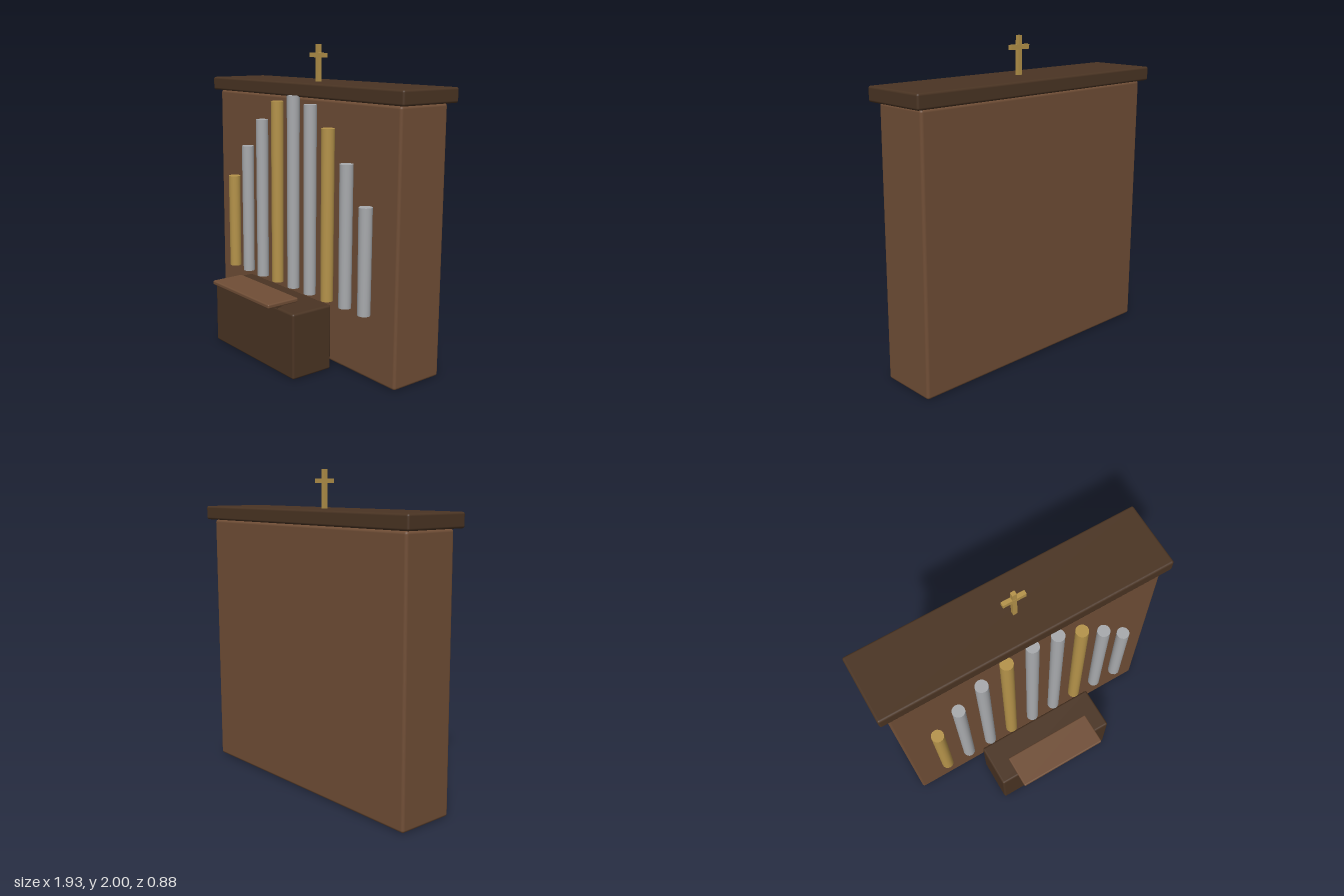
import * as THREE from 'three';
import { RoundedBoxGeometry } from 'three/addons/geometries/RoundedBoxGeometry.js';

const material = (name, color) => {
  const m = new THREE.MeshStandardMaterial({ color });
  m.name = name;
  return m;
};

export function createModel() {
  const model = new THREE.Group();
  model.name = 'pipeOrgan';
  const wood = material('brown wood', 0x704e36);
  const darkWood = material('dark wood', 0x4a3423);
  const gold = material('gold', 0xb5934a);
  const silver = material('silver', 0xa8aaad);

  const add = (parent, name, geometry, mat) => {
    const mesh = new THREE.Mesh(geometry, mat);
    mesh.name = name;
    parent.add(mesh);
    return mesh;
  };
  // Box given by its extents; a radius softens the edges
  const box = (parent, name, mat, [x0, x1], [y0, y1], [z0, z1], r = 0) => {
    const size = [x1 - x0, y1 - y0, z1 - z0];
    const geometry = r ? new RoundedBoxGeometry(...size, 3, r) : new THREE.BoxGeometry(...size);
    add(parent, name, geometry, mat).position.set((x0 + x1) / 2, (y0 + y1) / 2, (z0 + z1) / 2);
  };

  // Case and cornice
  box(model, 'case', wood, [-0.917, 0.917], [0, 1.67], [-0.405, -0.03], 0.018);
  box(model, 'cornice', darkWood, [-0.965, 0.965], [1.672, 1.762], [-0.442, 0.004], 0.014);

  // Row of standing pipes, tallest in the middle
  const pipes = new THREE.Group();
  pipes.name = 'pipes';
  model.add(pipes);
  const tops = [1.68, 1.635, 1.503, 1.307, 1.075];
  const bottom = 0.418;
  for (let i = -4; i <= 4; i++) {
    const h = tops[Math.abs(i)] - bottom;
    const mat = (i + 4) % 3 === 0 ? gold : silver;
    add(pipes, 'pipe', new THREE.CylinderGeometry(0.042, 0.04, h, 16), mat)
      .position.set(i * 0.1725, bottom + h / 2, 0.013);
  }

  // Console with a raised keyboard shelf on two short posts
  const consoleGroup = new THREE.Group();
  consoleGroup.name = 'console';
  model.add(consoleGroup);
  box(consoleGroup, 'consoleBody', darkWood, [-0.431, 0.431], [0, 0.418], [0.048, 0.345], 0.014);
  box(consoleGroup, 'keyboardShelf', wood, [-0.314, 0.314], [0.44, 0.468], [0.215, 0.442], 0.009);
  for (const x of [-0.26, 0.26]) {
    box(consoleGroup, 'shelfPost', darkWood, [x - 0.014, x + 0.014], [0.41, 0.444], [0.314, 0.342]);
  }

  // Cross on top
  const cross = new THREE.Group();
  cross.name = 'cross';
  model.add(cross);
  box(cross, 'crossUpright', gold, [-0.014, 0.014], [1.755, 2], [-0.204, -0.178]);
  box(cross, 'crossBar', gold, [-0.075, 0.075], [1.915, 1.944], [-0.2045, -0.1775]);

  return model;
}
